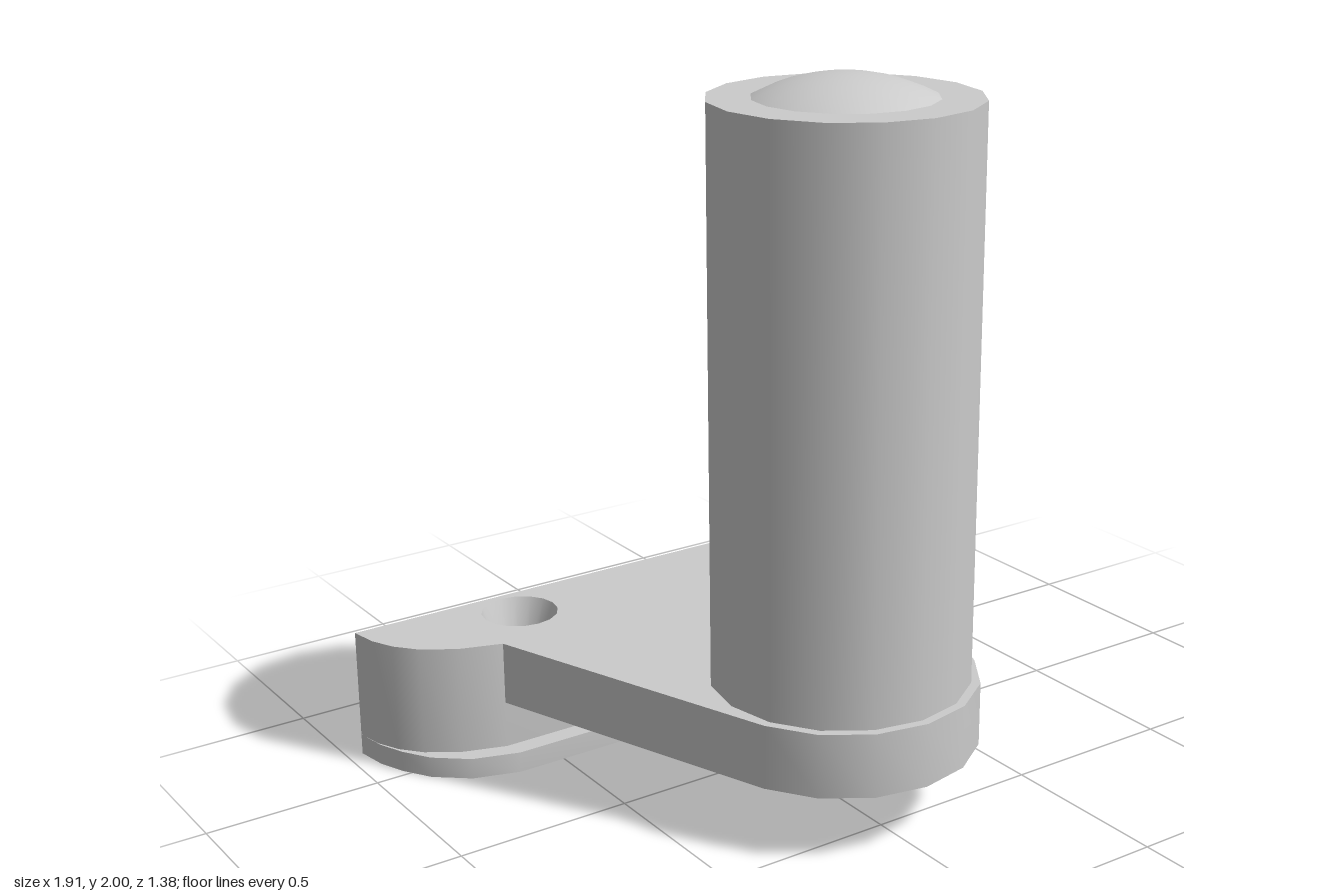
import * as THREE from 'three';
import { toCreasedNormals } from 'three/addons/utils/BufferGeometryUtils.js';

const grey = new THREE.MeshStandardMaterial({ color: 0xcccccc });
const greyDouble = new THREE.MeshStandardMaterial({ color: 0xcccccc, side: THREE.DoubleSide });
const BACK = -0.69, HOLE_X = 0.5, HOLE_Z = -0.56, POST_Z = 0.31;

export function createModel() {
  const model = new THREE.Group();

  const add = (name, geometry, x = 0, y = 0, z = 0, material = grey) => {
    const mesh = new THREE.Mesh(geometry, material);
    mesh.name = name;
    mesh.position.set(x, y, z);
    model.add(mesh);
  };

  // Mirrors a half outline of [x, z] points (x > 0, back to front) and extrudes it upwards
  const slab = (half, y0, y1, holeRadius = 0) => {
    const right = half.map(([x, z]) => new THREE.Vector2(x, -z));
    const left = right.filter(p => p.x > 0).reverse().map(p => new THREE.Vector2(-p.x, p.y));
    const shape = new THREE.Shape([...right, ...left]);
    if (holeRadius) for (const s of [-1, 1]) {
      const ring = [];
      for (let i = 0; i < 16; i++) {
        const a = i * Math.PI / 8;
        ring.push(new THREE.Vector2(s * HOLE_X + holeRadius * Math.sin(a), -HOLE_Z - holeRadius * Math.cos(a)));
      }
      shape.holes.push(new THREE.Path(ring));
    }
    const geometry = new THREE.ExtrudeGeometry(shape, { depth: y1 - y0, bevelEnabled: false });
    geometry.rotateX(-Math.PI / 2).translate(0, y0, 0);
    return toCreasedNormals(geometry, 0.6);
  };

  // Wall flange with rounded ears, and the wider lip beneath it
  add('flange', slab([[0.955, BACK], [0.94, -0.61], [0.91, -0.545], [0.86, -0.485],
    [0.77, -0.425], [0.65, -0.385]], 0.06, 0.375, 0.11));
  add('lip', slab([[0.955, BACK], [0.94, -0.6], [0.91, -0.525], [0.86, -0.445],
    [0.77, -0.37], [0.64, -0.328]], 0, 0.06, 0.1));

  // Tapering arm ending in a rounded nose around the post
  const arm = [[0.65, -0.385]];
  for (let i = 1; i <= 4; i++) {
    const a = i * Math.PI / 8;
    arm.push([i < 4 ? 0.38 * Math.cos(a) : 0, POST_Z + 0.38 * Math.sin(a)]);
  }
  add('arm', slab(arm, 0.195, 0.375));

  // Countersunk screw holes
  const bore = [[0.1, 0], [0.06, 0.15], [0.06, 0.22], [0.11, 0.375]].map(p => new THREE.Vector2(...p));
  for (const s of [-1, 1]) {
    add(s > 0 ? 'leftScrewHole' : 'rightScrewHole',
      toCreasedNormals(new THREE.LatheGeometry(bore, 16), 0.45), s * HOLE_X, 0, HOLE_Z, greyDouble);
  }

  // Upright post with a shallow domed cap
  add('post', new THREE.CylinderGeometry(0.355, 0.355, 1.565, 16), 0, 0.375 + 1.565 / 2, POST_Z);
  const r = 0.51;
  add('domeCap', new THREE.SphereGeometry(r, 16, 6, Math.PI / 2, Math.PI * 2, 0, Math.asin(0.24 / r)),
    0, 2 - r, POST_Z);

  return model;
}
